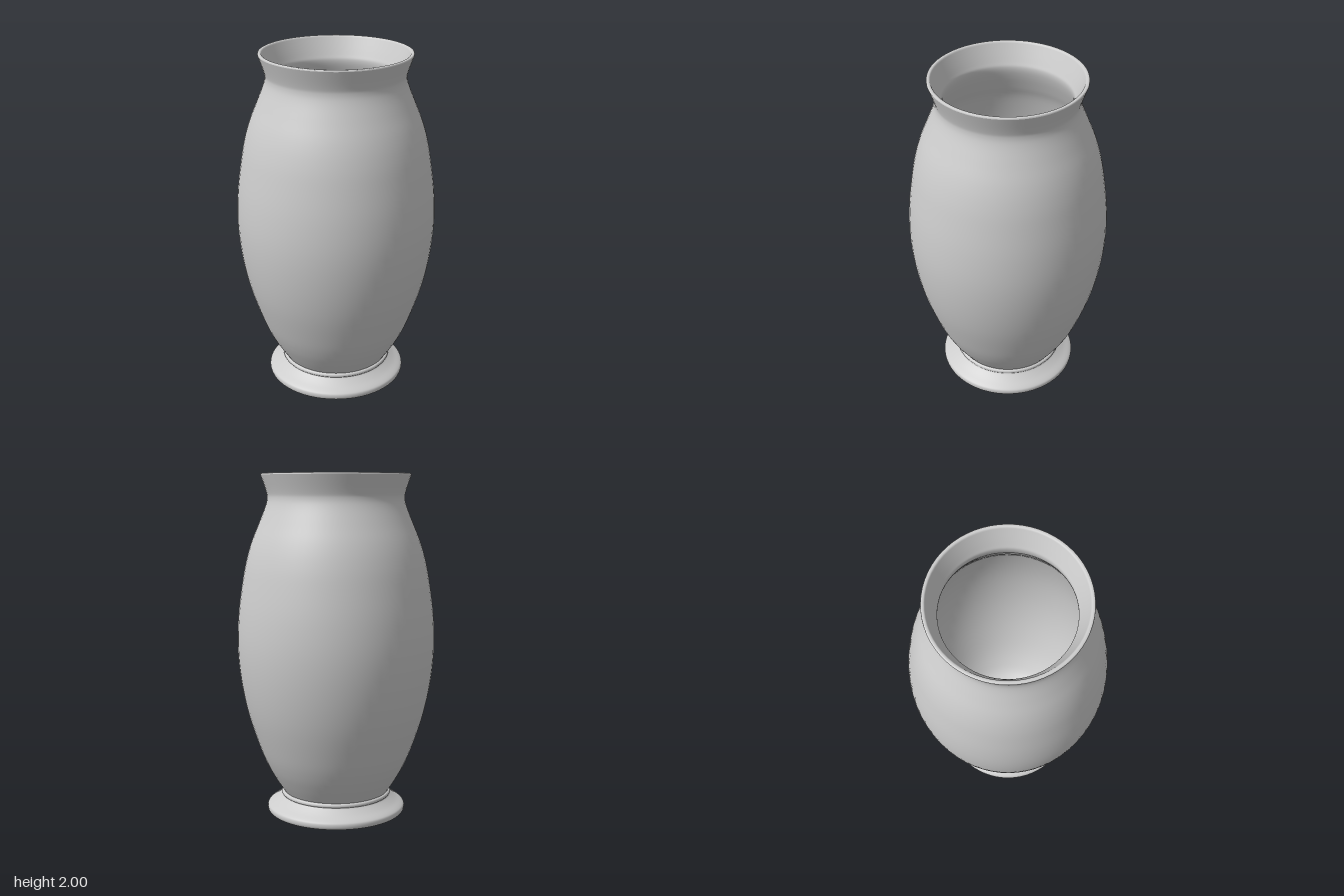
import * as THREE from 'three';

const SEGMENTS = 64;

// Smooth curve through [radius, height] pairs
function smooth(pairs, steps) {
  return new THREE.SplineCurve(pairs.map(([r, y]) => new THREE.Vector2(r, y))).getPoints(steps);
}

export function createModel() {
  const group = new THREE.Group();
  group.name = 'vase';
  const glaze = new THREE.MeshStandardMaterial({ color: 0xcccccc, side: THREE.DoubleSide });
  glaze.name = 'greyGlaze';

  const turn = (name, points) => {
    const mesh = new THREE.Mesh(new THREE.LatheGeometry(points, SEGMENTS), glaze);
    mesh.name = name;
    group.add(mesh);
  };

  // Hollow underside of the foot, from the middle outwards
  turn('underside', smooth([[0, 0.1], [0.15, 0.095], [0.27, 0.07], [0.34, 0.03], [0.385, 0.005]], 16));

  // Flared foot with a rounded edge and a small collar
  turn('foot', smooth([
    [0.385, 0.005], [0.402, 0], [0.412, 0.012], [0.412, 0.032], [0.4, 0.045],
    [0.365, 0.066], [0.335, 0.088], [0.323, 0.1], [0.328, 0.108], [0.325, 0.12], [0.313, 0.126],
  ], 40));

  // Swelling body, narrow neck and flared mouth
  turn('body', smooth([
    [0.313, 0.122], [0.36, 0.195], [0.41, 0.285], [0.458, 0.4], [0.522, 0.6], [0.562, 0.8],
    [0.579, 1], [0.571, 1.2], [0.543, 1.4], [0.518, 1.52], [0.487, 1.62], [0.446, 1.72],
    [0.41, 1.81], [0.398, 1.86], [0.404, 1.9], [0.434, 1.992],
  ], 72));

  // Rounded lip
  turn('lip', smooth([[0.434, 1.992], [0.431, 2], [0.417, 2], [0.411, 1.992]], 8));

  // Inner wall and floor
  turn('inside', smooth([
    [0.411, 1.992], [0.372, 1.9], [0.36, 1.86], [0.374, 1.8], [0.41, 1.71], [0.452, 1.61],
    [0.505, 1.4], [0.535, 1.2], [0.541, 1], [0.525, 0.8], [0.485, 0.6], [0.42, 0.4],
    [0.35, 0.26], [0.27, 0.17], [0.14, 0.14], [0, 0.135],
  ], 72));

  return group;
}
